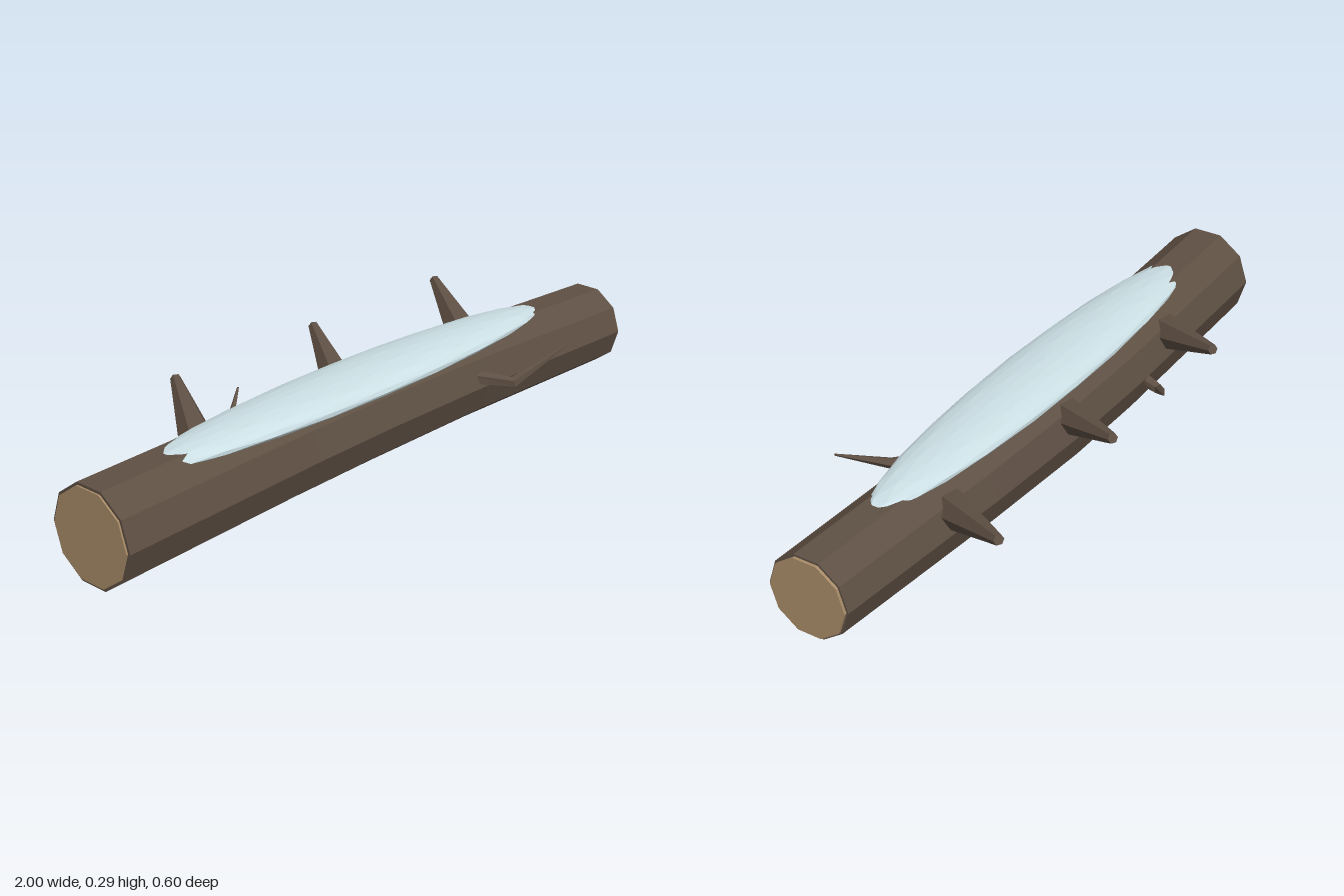
import * as THREE from 'three';

const bark = new THREE.MeshStandardMaterial({ color: 0x5f5044 });
bark.name = 'bark';
const cutWood = new THREE.MeshStandardMaterial({ color: 0xa98c69 });
cutWood.name = 'cutWood';
const snow = new THREE.MeshStandardMaterial({ color: 0xcbdfe4 });
snow.name = 'snow';

// Faceted, capped tube through rings of [x, y, z, radius]; axis fixes the ring plane
function loft(rings, sides, axis) {
  const up = new THREE.Vector3(0, 1, 0);
  const centres = rings.map(r => new THREE.Vector3(r[0], r[1], r[2]));
  const last = rings.length - 1;
  const loops = centres.map((c, i) => {
    const dir = axis ? axis.clone()
      : centres[Math.min(i + 1, last)].clone().sub(centres[Math.max(i - 1, 0)]).normalize();
    const u = up.clone().cross(dir).normalize();
    const v = dir.clone().cross(u);
    return Array.from({ length: sides }, (_, k) => {
      const a = (k / sides) * Math.PI * 2;
      return c.clone().addScaledVector(u, Math.cos(a) * rings[i][3])
        .addScaledVector(v, Math.sin(a) * rings[i][3]);
    });
  });
  const points = [];
  for (let k = 0; k < sides; k++) {
    const n = (k + 1) % sides;
    for (let i = 0; i < last; i++) {
      const a = loops[i][k], b = loops[i][n], c = loops[i + 1][n], d = loops[i + 1][k];
      points.push(a, b, c, a, c, d);
    }
    points.push(centres[0], loops[0][n], loops[0][k]);
    points.push(centres[last], loops[last][k], loops[last][n]);
  }
  const geometry = new THREE.BufferGeometry().setFromPoints(points);
  geometry.computeVertexNormals();
  return geometry;
}

export function createModel() {
  const model = new THREE.Group();
  const add = (name, geometry, material) => {
    const mesh = new THREE.Mesh(geometry, material);
    mesh.name = name;
    model.add(mesh);
    return mesh;
  };
  const xAxis = new THREE.Vector3(1, 0, 0);

  // Gently bowed ten-sided trunk
  add('trunk', loft([
    [-0.995, 0.136, 0.062, 0.142],
    [-0.3, 0.135, 0.031, 0.139],
    [0, 0.137, 0.027, 0.138],
    [0.4, 0.138, 0.036, 0.131],
    [0.992, 0.138, 0.066, 0.122],
  ], 10, xAxis), bark);

  // Pale cut faces, slightly inside the bark rim
  add('rightCutFace', loft([[-1, 0.136, 0.062, 0.134], [-0.994, 0.136, 0.062, 0.134]], 10, xAxis), cutWood);
  add('leftCutFace', loft([[0.991, 0.138, 0.066, 0.116], [1, 0.138, 0.066, 0.116]], 10, xAxis), cutWood);

  // Three broken branch stubs along the back
  [-0.53, 0.01, 0.545].forEach((x, i) => {
    add('branchStub' + (i + 1), loft([
      [x, 0.182, -0.045, 0.054],
      [x + 0.145, 0.268, -0.293, 0.015],
    ], 6), bark);
  });

  // Thin bent twigs
  add('backTwig', loft([
    [-0.36, 0.122, -0.07, 0.022],
    [-0.335, 0.115, -0.153, 0.015],
    [-0.2, 0.198, -0.243, 0.003],
  ], 5), bark);
  add('frontTwig', loft([
    [0.36, 0.165, 0.13, 0.022],
    [0.43, 0.155, 0.23, 0.016],
    [0.58, 0.242, 0.298, 0.003],
  ], 5), bark);

  // Long low snow drift resting on top, flatter underneath
  const drift = new THREE.IcosahedronGeometry(1, 3);
  const p = drift.attributes.position;
  for (let i = 0; i < p.count; i++) {
    const x = p.getX(i), y = p.getY(i), z = p.getZ(i);
    p.setXYZ(i, x * 0.79 - 0.04, 0.252 + y * (y > 0 ? 0.041 : 0.03), z * 0.117 + 0.055);
  }
  drift.computeVertexNormals();
  add('snowDrift', drift, snow);

  return model;
}
